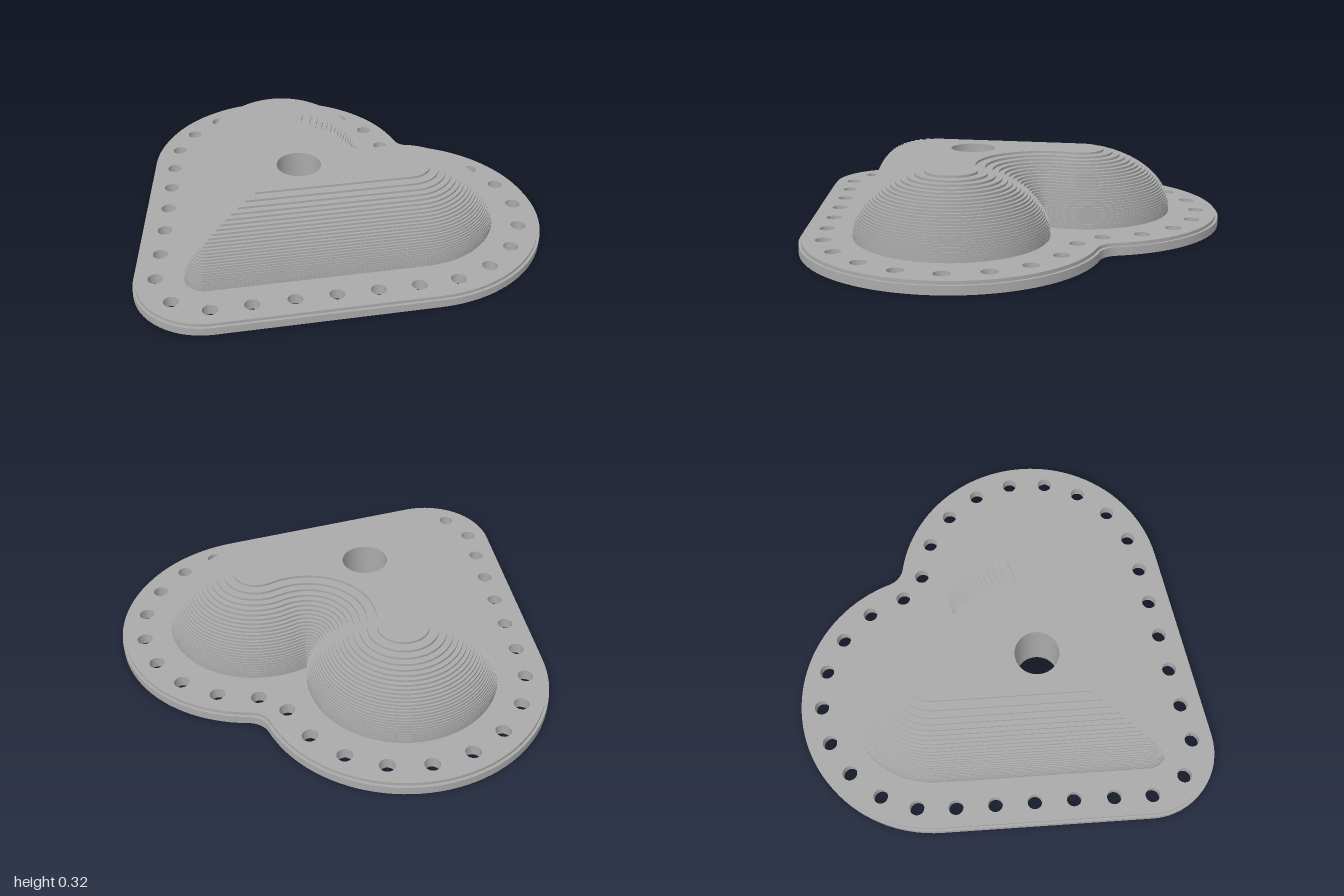
import * as THREE from 'three';
import { toCreasedNormals } from 'three/addons/utils/BufferGeometryUtils.js';

// Heart made of two lobe circles, a tip circle, and their common tangents
const LOBE = { x: 0.37, z: -0.31, r: 0.41 };
const TIP = { z: 0.625, r: 0.09 };
const TANGENT = Math.atan2(TIP.z - LOBE.z, LOBE.x) * -1
  + Math.acos((TIP.r - LOBE.r) / Math.hypot(LOBE.x, TIP.z - LOBE.z));
const HOLE_R = 0.1;

function arc(cx, cz, r, from, to, n) {
  return Array.from({ length: n + 1 }, (_, i) => {
    const a = from + (to - from) * i / n;
    return new THREE.Vector2(cx + r * Math.cos(a), cz + r * Math.sin(a));
  });
}

// Heart outline in (x, z), moved inward by d (negative = outward)
function heart(d) {
  const lobeR = LOBE.r - d;
  const notchR = d >= 0 ? d : 0.1;
  const notchZ = LOBE.z - Math.sqrt((lobeR + notchR) ** 2 - LOBE.x ** 2);
  const end = Math.atan2(notchZ - LOBE.z, -LOBE.x);
  const tipR = Math.max(TIP.r - d, 0);
  const tipZ = TIP.z + Math.min(TIP.r - d, 0) / Math.sin(TANGENT);
  const half = [
    ...arc(0, tipZ, tipR, Math.PI / 2, TANGENT, 8),
    ...arc(LOBE.x, LOBE.z, lobeR, TANGENT, end, 48),
    ...arc(0, notchZ, notchR, end + Math.PI, Math.PI / 2, 8),
  ];
  const mirrored = half.slice(1, -1).reverse().map(p => new THREE.Vector2(-p.x, p.y));
  return [...half, ...mirrored];
}

// Skin over successive closed rings of equal point count
function loft(rings) {
  const pos = [];
  for (let k = 0; k + 1 < rings.length; k++) {
    const a = rings[k], b = rings[k + 1], n = a.pts.length;
    const put = (ring, i) => pos.push(ring.pts[i % n].x, ring.y, ring.pts[i % n].y);
    for (let i = 0; i < n; i++) {
      put(a, i); put(a, i + 1); put(b, i + 1);
      put(a, i); put(b, i + 1); put(b, i);
    }
  }
  const g = new THREE.BufferGeometry();
  g.setAttribute('position', new THREE.Float32BufferAttribute(pos, 3));
  return toCreasedNormals(g, 0.5);
}

function heartShape(d, holes) {
  const shape = new THREE.Shape(heart(d).map(p => new THREE.Vector2(p.x, -p.y)));
  for (const [x, z, r] of holes) {
    shape.holes.push(new THREE.Path().absarc(x, -z, r, 0, Math.PI * 2, true));
  }
  return shape;
}

export function createModel() {
  const group = new THREE.Group();
  const grey = new THREE.MeshStandardMaterial({ color: 0xaaaaaa });
  grey.name = 'grey';
  const add = (name, geometry) => {
    const mesh = new THREE.Mesh(geometry, grey);
    mesh.name = name;
    group.add(mesh);
  };

  // Flange with a row of small holes around the rim
  const rimHoles = [
    [0.16, 0.765], [0.27, 0.63], [0.385, 0.49], [0.5, 0.355], [0.615, 0.22],
    [0.73, 0.085], [0.835, -0.055], [0.89, -0.22], [0.89, -0.4], [0.835, -0.565],
    [0.727, -0.705], [0.578, -0.8], [0.408, -0.84], [0.232, -0.822], [0.072, -0.748],
  ];
  const holes = [[0, 0, HOLE_R], [0, 0.83, 0.033]];
  for (const [x, z] of rimHoles) holes.push([x, z, 0.033], [-x, z, 0.033]);
  const plate = (d, y, h) => {
    const g = new THREE.ExtrudeGeometry(heartShape(d, holes),
      { depth: h, bevelEnabled: false, curveSegments: 16 });
    g.rotateX(-Math.PI / 2).translate(0, y, 0);
    return toCreasedNormals(g, 0.5);
  };
  add('flangeBase', plate(-0.22, 0, 0.036));
  add('flangeTop', plate(-0.208, 0.036, 0.014));

  // Dome of thin terraces that draw in faster towards the top
  const layers = 27, base = 0.05, step = 0.01, inset = 0.3;
  const curve = i => 1 - Math.sqrt(1 - (i / (layers + 0.5)) ** 2);
  const rings = [];
  for (let i = 0; i < layers; i++) {
    const pts = heart(inset * curve(i) / curve(layers - 1));
    rings.push({ pts, y: base + i * step }, { pts, y: base + (i + 1) * step });
  }
  add('domeTerraces', loft(rings));

  // Flat dome top and the wall of the centre hole
  const top = base + layers * step;
  const cap = new THREE.ShapeGeometry(heartShape(inset, [[0, 0, HOLE_R]]), 24);
  add('domeTop', cap.rotateX(-Math.PI / 2).translate(0, top, 0));
  const circle = arc(0, 0, HOLE_R, 0, Math.PI * 2, 48);
  add('centreHoleWall', loft([{ pts: circle, y: base }, { pts: circle, y: top }]));
  return group;
}
